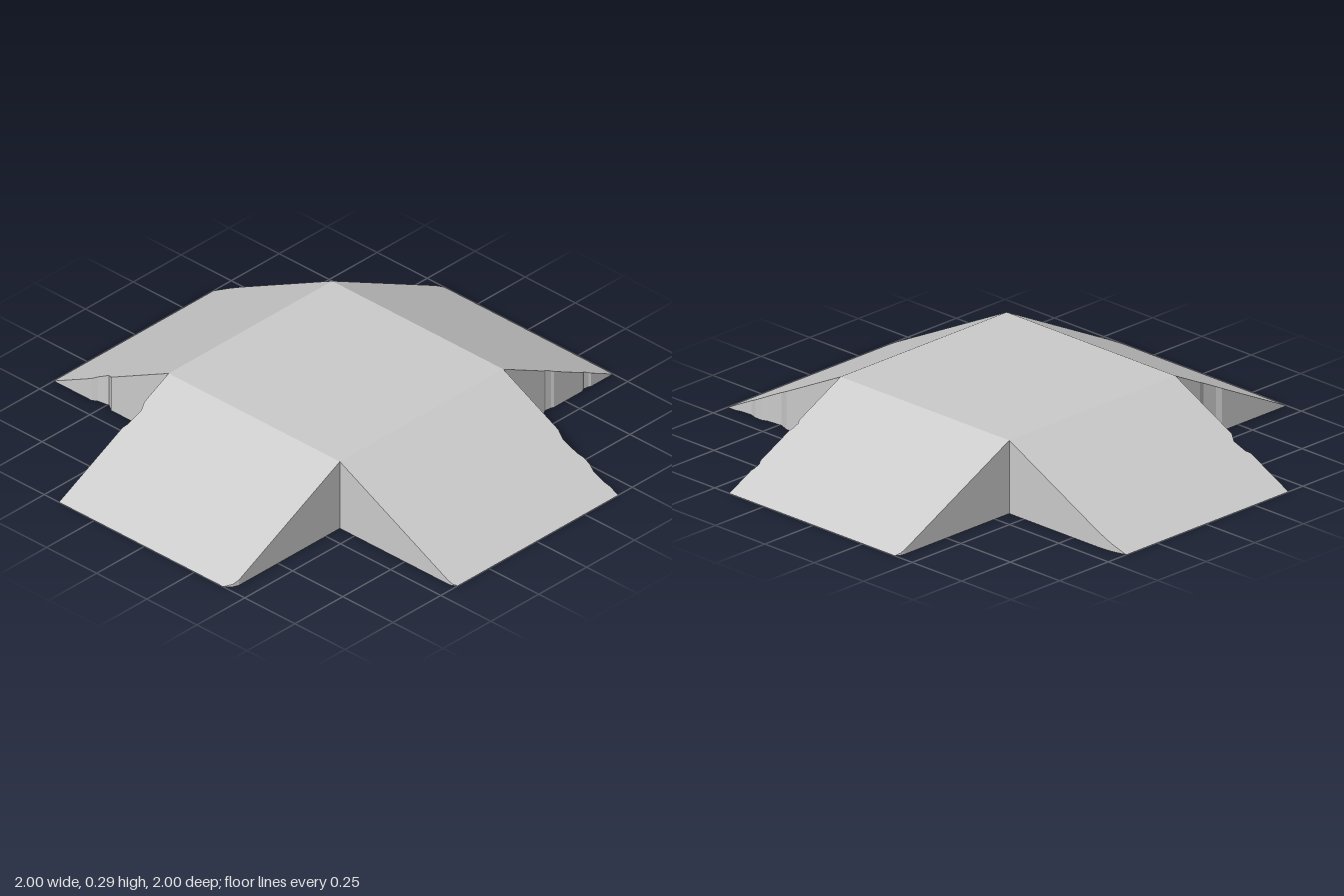
import * as THREE from 'three';

const HALF = 0.427;   // half width of the top and of every arm
const HEIGHT = 0.286;
const REACH = 1;

const material = new THREE.MeshStandardMaterial({
  color: 0xcccccc, flatShading: true, side: THREE.DoubleSide,
});

// Mesh made of quads, each given as four corners counter-clockwise from outside
function quadMesh(name, quads) {
  const pos = [];
  for (const [a, b, c, d] of quads) pos.push(...a, ...b, ...c, ...a, ...c, ...d);
  const geometry = new THREE.BufferGeometry();
  geometry.setAttribute('position', new THREE.Float32BufferAttribute(pos, 3));
  geometry.computeVertexNormals();
  const mesh = new THREE.Mesh(geometry, material);
  mesh.name = name;
  return mesh;
}

// Wear along a ramp edge: [position 0 at the top .. 1 at the tip, depth]
const chip = (from, to, depth) => [[from, 0], [from * 0.7 + to * 0.3, depth], [to * 0.8 + from * 0.2, depth * 0.6], [to, 0]];
const corner = (from, depth) => [[from, 0], [(from + 1) / 2, depth * 0.25], [1, depth]];

// Depth of the wear at position t, interpolated along the edge
function depthAt(edge, t) {
  for (let i = 1; i < edge.length; i++) {
    const [t0, d0] = edge[i - 1], [t1, d1] = edge[i];
    if (t >= t0 && t <= t1) return t1 === t0 ? d1 : d0 + (d1 - d0) * (t - t0) / (t1 - t0);
  }
  return 0;
}

// One sloping arm pointing to +z, with a triangular wall on each side and an open underside
function ramp(name, wearMinus, wearPlus, angle) {
  const ts = [...new Set([0, ...wearMinus.map(p => p[0]), ...wearPlus.map(p => p[0]), 1])].sort((a, b) => a - b);
  const point = (side, t, grounded) => [
    side * (HALF - depthAt(side > 0 ? wearPlus : wearMinus, t)),
    grounded ? 0 : HEIGHT * (1 - t),
    HALF + (REACH - HALF) * t,
  ];
  const slope = [], walls = [];
  for (let i = 1; i < ts.length; i++) {
    const a = ts[i - 1], b = ts[i];
    slope.push([point(-1, a), point(-1, b), point(1, b), point(1, a)]);
    walls.push([point(1, a), point(1, b), point(1, b, true), point(1, a, true)]);
    walls.push([point(-1, a), point(-1, a, true), point(-1, b, true), point(-1, b)]);
  }
  const group = new THREE.Group();
  group.name = name;
  group.add(quadMesh('rampSurface', slope), quadMesh('rampSideWalls', walls));
  group.rotation.y = angle;
  return group;
}

export function createModel() {
  const model = new THREE.Group();
  model.name = 'crossRamp';

  // Flat square platform in the middle
  model.add(quadMesh('topPlatform', [[
    [-HALF, HEIGHT, -HALF], [-HALF, HEIGHT, HALF], [HALF, HEIGHT, HALF], [HALF, HEIGHT, -HALF],
  ]]));

  // Four arms, each with its own worn edges
  model.add(
    ramp('frontRamp', chip(0.22, 0.42, 0.015), corner(0.92, 0.035), 0),
    ramp('leftRamp', corner(0.95, 0.015), [...chip(0.48, 0.7, 0.015), ...chip(0.75, 0.93, 0.01)], Math.PI / 2),
    ramp('backRamp', [...chip(0.37, 0.46, 0.008), ...chip(0.72, 0.8, 0.008)], corner(0.94, 0.015), Math.PI),
    ramp('rightRamp', corner(0.79, 0.02), chip(0.5, 0.67, 0.02), -Math.PI / 2),
  );
  return model;
}
